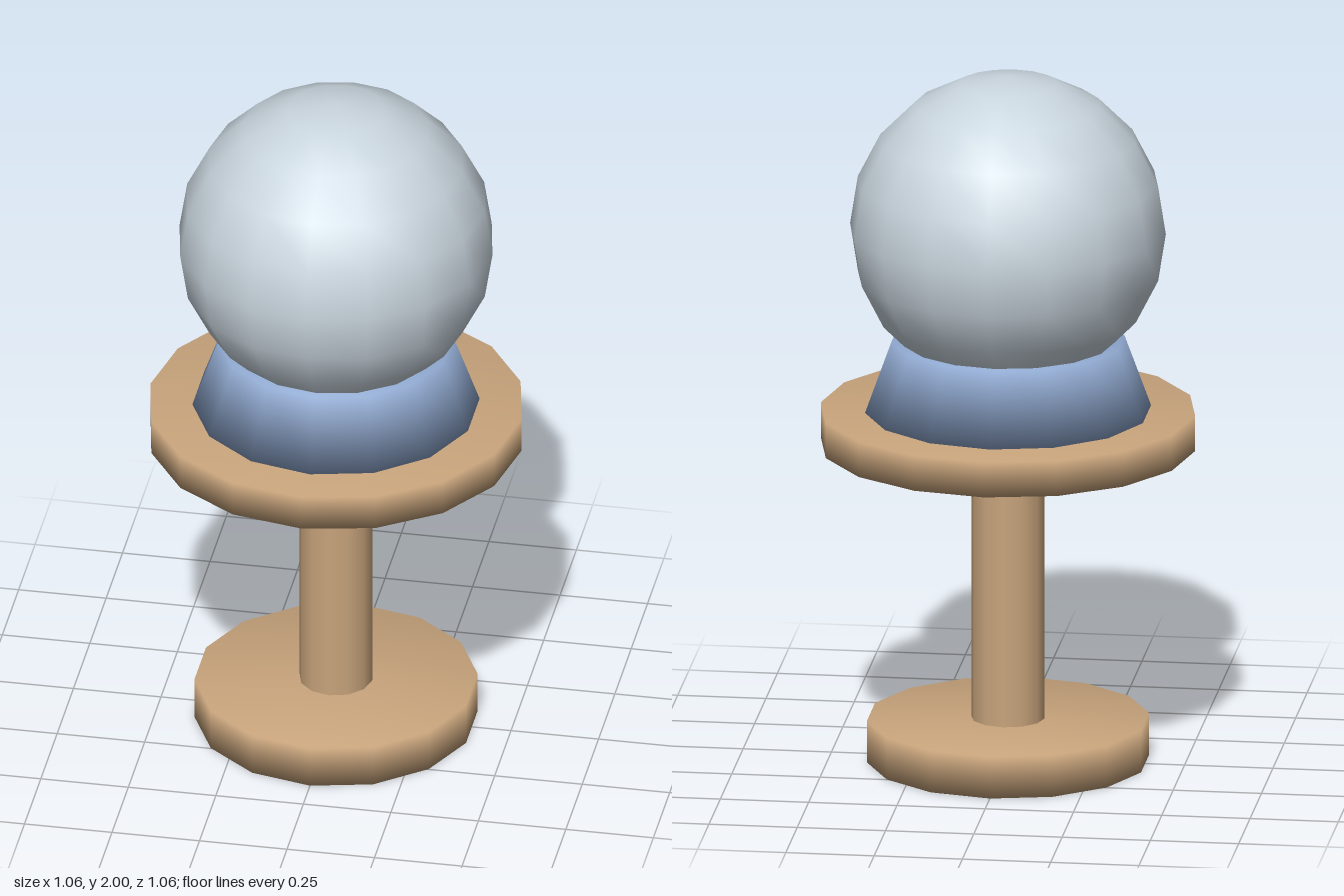
import * as THREE from 'three';

export function createModel() {
  const model = new THREE.Group();
  const material = (name, color) => {
    const m = new THREE.MeshStandardMaterial({ color });
    m.name = name;
    return m;
  };
  const wood = material('wood', 0xc8a47c);
  const blue = material('blue', 0x90a9d0);
  const glass = material('pale grey', 0xc9d5de);

  const add = (name, geometry, mat) => {
    const mesh = new THREE.Mesh(geometry, mat);
    mesh.name = name;
    model.add(mesh);
    return mesh;
  };

  // Closed round part with softly shaded rims
  const disc = (name, rBottom, rTop, y0, y1, sides, mat) => {
    const profile = [[0, y0], [rBottom, y0], [rTop, y1], [0, y1]];
    const points = profile.map(([r, y]) => new THREE.Vector2(r, y));
    return add(name, new THREE.LatheGeometry(points, sides), mat);
  };

  // Stand: foot, column and round top
  disc('foot', 0.398, 0.398, 0, 0.122, 14, wood);
  add('column', new THREE.CylinderGeometry(0.104, 0.104, 0.82, 12).translate(0, 0.52, 0), wood);
  disc('tableTop', 0.53, 0.53, 0.921, 1.024, 16, wood);

  // Tapered collar holding the ball
  disc('collar', 0.405, 0.329, 1.02, 1.23, 14, blue);

  // Ball
  add('ball', new THREE.SphereGeometry(0.447, 16, 10).translate(0, 1.553, 0), glass);

  return model;
}
